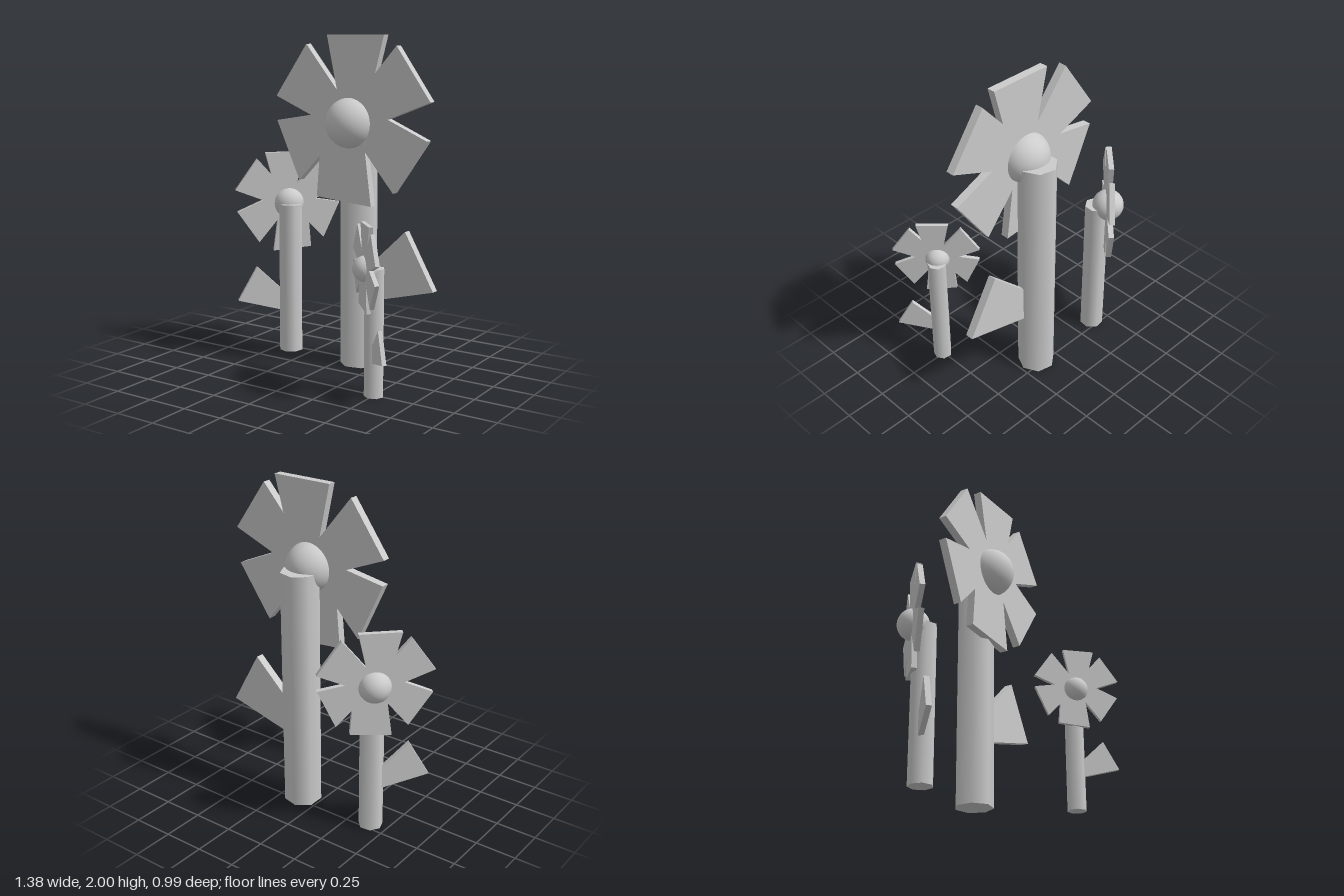
import * as THREE from 'three';

const material = new THREE.MeshStandardMaterial({ color: 0xcccccc });
const THICKNESS = 0.05;

// Flat plate cut from an outline, centred on z = 0
function plate(name, points) {
  const shape = new THREE.Shape(points.map(([x, y]) => new THREE.Vector2(x, y)));
  const geometry = new THREE.ExtrudeGeometry(shape, { depth: THICKNESS, bevelEnabled: false });
  geometry.translate(0, 0, -THICKNESS / 2);
  const mesh = new THREE.Mesh(geometry, material);
  mesh.name = name;
  return mesh;
}

// Six uneven, hand-cut petals around the flower centre, clockwise from the top
const petalOutline = [
  [-0.15, 0.51], [0.236, 0.51], [0.178, 0.292],
  [0.318, 0.45], [0.537, 0.14], [0.263, 0.033],
  [0.52, -0.079], [0.304, -0.392], [0.115, -0.164],
  [0.157, -0.482], [-0.222, -0.45], [-0.202, -0.206],
  [-0.35, -0.36], [-0.513, -0.004], [-0.265, 0.038],
  [-0.517, 0.144], [-0.296, 0.457], [-0.08, 0.192],
];

const leafOutline = [[0.08, 0.41], [0.53, 0.528], [0.34, 0.865], [0.08, 0.615]];

// One flower with the foot of its stem at the origin, facing +z
function createFlower(name) {
  const flower = new THREE.Group();
  flower.name = name;
  const height = 1.49, headZ = 0.107;

  // Seven-sided stem with one corner towards the leaf
  const stem = new THREE.Mesh(
    new THREE.CylinderGeometry(0.115, 0.115, height, 7, 1, false, Math.PI / 2), material);
  stem.name = 'stem';
  stem.position.y = height / 2;

  const centre = new THREE.Mesh(new THREE.SphereGeometry(0.15, 32, 20), material);
  centre.name = 'flowerCentre';
  centre.position.set(0, height, headZ);

  const petals = plate('petals', petalOutline);
  petals.position.set(0, height, headZ);

  const leaf = plate('leaf', leafOutline);
  leaf.position.z = 0.022;

  flower.add(stem, centre, petals, leaf);
  return flower;
}

export function createModel() {
  const model = new THREE.Group();
  model.name = 'flowers';

  // name, x, z, scale, turn about the vertical
  const flowers = [
    ['tallFlower', 0.12, -0.2, 1, 0],
    ['mediumFlower', -0.392, -0.202, 0.635, -Math.PI * 0.75],
    ['smallFlower', 0.503, 0.259, 0.4925, -Math.PI / 4],
  ];
  for (const [name, x, z, scale, turn] of flowers) {
    const flower = createFlower(name);
    flower.position.set(x, 0, z);
    flower.scale.setScalar(scale);
    flower.rotation.y = turn;
    model.add(flower);
  }
  return model;
}
